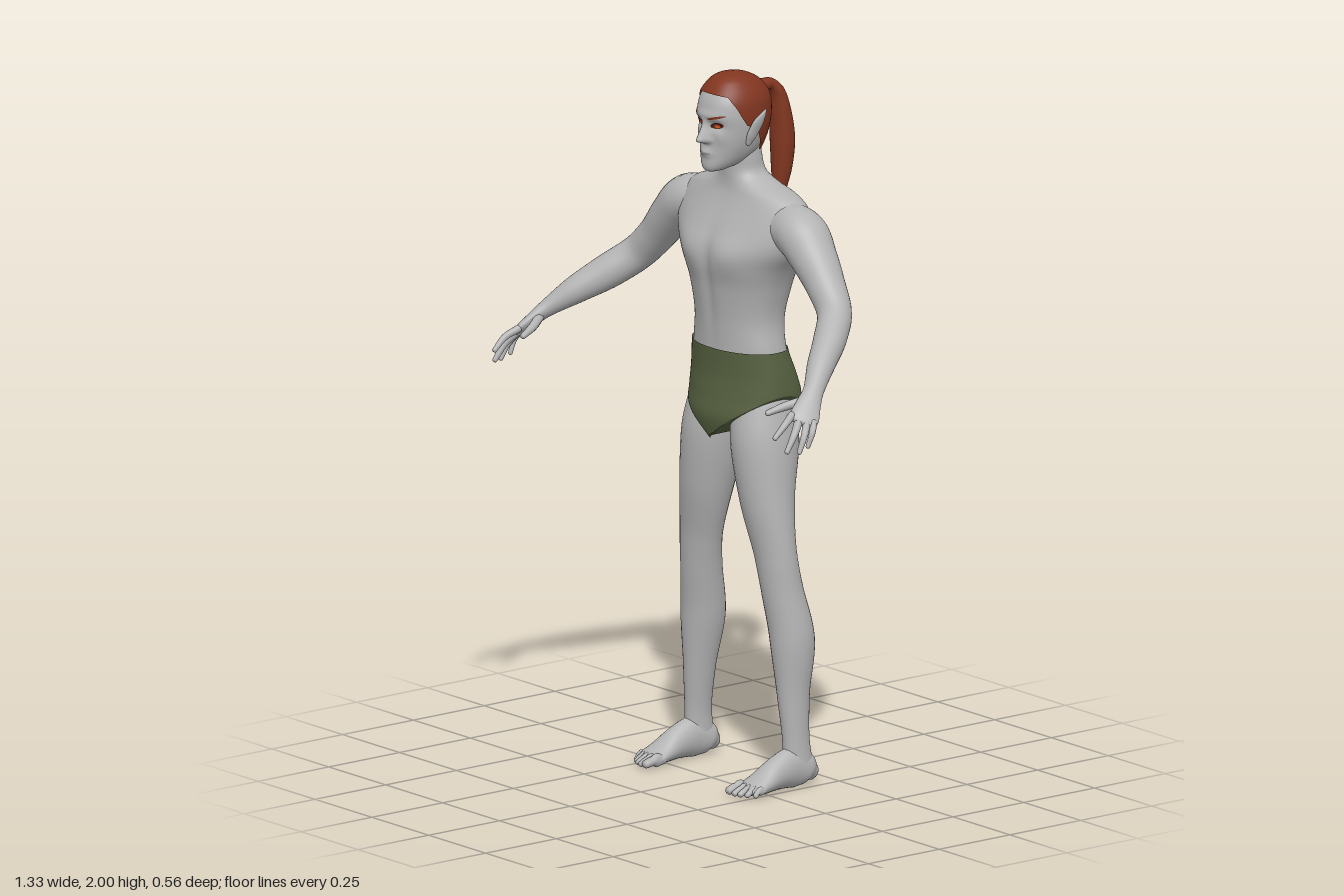
import * as THREE from 'three';

const V = (x, y, z) => new THREE.Vector3(x, y, z);
const gauss = (v, s) => Math.exp(-(v * v) / (s * s));

// Smooth lookup in sections [y, halfWidth, zFront, zBack], listed from low to high
function sectionAt(secs, y) {
  const n = secs.length - 1;
  y = Math.min(Math.max(y, secs[0][0]), secs[n][0]);
  let i = 0;
  while (i < n - 1 && y > secs[i + 1][0]) i++;
  const a = secs[i], b = secs[i + 1], h = b[0] - a[0], t = (y - a[0]) / h;
  const slope = (j, k) => {
    const p = secs[Math.max(j - 1, 0)], q = secs[Math.min(j + 1, n)];
    return (q[k] - p[k]) / (q[0] - p[0]);
  };
  return [1, 2, 3].map((k) =>
    (2 * t ** 3 - 3 * t * t + 1) * a[k] + (t ** 3 - 2 * t * t + t) * h * slope(i, k) +
    (3 * t * t - 2 * t ** 3) * b[k] + (t ** 3 - t * t) * h * slope(i + 1, k));
}

// Point on a body surface at height y and angle a (0 = front)
function surface(body, y, a) {
  const [w, zf, zb] = sectionAt(body.secs, y);
  const s = Math.sin(a), c = Math.cos(a), e = c > 0 ? body.eFront : body.eBack;
  const x = w * Math.sign(s) * Math.abs(s) ** e;
  const z = (zf + zb) / 2 + ((zf - zb) / 2) * Math.sign(c) * Math.abs(c) ** e;
  return V(x, y, z + body.relief(x, y, c));
}

// Closed rings of points joined to a smooth skin, wound outwards
function skinRings(rows, cols, point) {
  const pos = [], idx = [], mid = V(0, 0, 0), pts = [];
  for (let i = 0; i <= rows; i++) for (let j = 0; j < cols; j++) {
    const p = point(i, j);
    pts.push(p); mid.add(p); pos.push(p.x, p.y, p.z);
  }
  mid.divideScalar(pts.length);
  for (let i = 0; i < rows; i++) for (let j = 0; j < cols; j++) {
    const a = i * cols + j, b = i * cols + (j + 1) % cols;
    idx.push(a, b, a + cols, b, b + cols, a + cols);
  }
  let volume = 0;
  for (let k = 0; k < idx.length; k += 3) {
    const [a, b, c] = [0, 1, 2].map((m) => pts[idx[k + m]].clone().sub(mid));
    volume += a.dot(b.cross(c));
  }
  if (volume < 0) idx.reverse();
  const g = new THREE.BufferGeometry();
  g.setAttribute('position', new THREE.Float32BufferAttribute(pos, 3));
  g.setIndex(idx);
  g.computeVertexNormals();
  return g;
}

// Round-ended limb through points [x, y, z, sideRadius, otherRadius]; s = -1 mirrors it
function limb(pts, ref, s = 1, rows = 40, cols = 24) {
  const path = new THREE.CatmullRomCurve3(pts.map((p) => V(p[0] * s, p[1], p[2])));
  const radii = new THREE.CatmullRomCurve3(pts.map((p) => V(p[3], p[4], 0)));
  const cap = 4;
  return skinRings(rows + 2 * cap, cols, (i, j) => {
    const t = Math.min(Math.max((i - cap) / rows, 0), 1);
    const over = i < cap ? i - cap : Math.max(i - cap - rows, 0);
    const q = (over / cap) * Math.PI / 2;
    const dir = path.getTangent(t), r = radii.getPoint(t);
    const side = V(ref[0] * s, ref[1], ref[2]);
    side.addScaledVector(dir, -side.dot(dir)).normalize();
    const other = dir.clone().cross(side), a = (j / cols) * Math.PI * 2;
    return path.getPoint(t)
      .addScaledVector(dir, Math.sin(q) * Math.min(r.x, r.y) * 0.8)
      .addScaledVector(side, Math.cos(a) * r.x * Math.cos(q))
      .addScaledVector(other, Math.sin(a) * r.y * Math.cos(q));
  });
}

const torso = {
  eFront: 1, eBack: 0.8,
  secs: [
    [0.96, 0.11, 0.0, -0.18], [1.03, 0.168, 0.016, -0.222], [1.09, 0.175, 0.008, -0.232],
    [1.15, 0.17, 0, -0.215], [1.225, 0.158, 0, -0.19], [1.31, 0.147, 0.005, -0.192],
    [1.4, 0.165, 0.016, -0.21], [1.46, 0.19, 0.023, -0.22], [1.52, 0.23, 0.016, -0.222],
    [1.57, 0.248, -0.003, -0.22], [1.63, 0.24, -0.032, -0.212], [1.665, 0.195, -0.046, -0.197],
    [1.69, 0.115, -0.05, -0.18], [1.715, 0.07, -0.05, -0.166], [1.76, 0.06, -0.048, -0.155],
    [1.83, 0.056, -0.04, -0.15]],
  // Chest muscles, breastbone, spine and seat cleft
  relief(x, y, c) {
    if (c > 0) return c * (0.016 * gauss(Math.abs(x) - 0.085, 0.07) * gauss(y - 1.5, 0.055)
      - 0.008 * gauss(x, 0.02) * gauss(y - 1.42, 0.14));
    return -c * (0.014 * gauss(x, 0.025) * gauss(y - 1.4, 0.17) + 0.04 * gauss(x, 0.018) * gauss(y - 1.03, 0.075));
  },
};

const skull = {
  eFront: 0.88, eBack: 1,
  secs: [
    [1.728, 0.012, 0.012, -0.02], [1.733, 0.027, 0.02, -0.045], [1.748, 0.045, 0.024, -0.1],
    [1.775, 0.063, 0.022, -0.148], [1.81, 0.077, 0.02, -0.168], [1.85, 0.085, 0.02, -0.18],
    [1.89, 0.087, 0.025, -0.185], [1.93, 0.082, 0.018, -0.18], [1.965, 0.063, -0.004, -0.155],
    [1.987, 0.036, -0.035, -0.115], [1.994, 0, -0.072, -0.074]],
  // Nose, eye sockets, brow, cheekbones and lips
  relief(x, y, c) {
    if (c <= 0) return 0;
    const up = THREE.MathUtils.smoothstep(y, 1.805, 1.82) * THREE.MathUtils.clamp((1.885 - y) / 0.062, 0, 1);
    return 0.036 * up * gauss(x, 0.009 + 0.007 * up)
      - 0.011 * gauss(Math.abs(x) - 0.036, 0.018) * gauss(y - 1.862, 0.013)
      + 0.006 * gauss(x, 0.05) * gauss(y - 1.89, 0.013)
      + 0.004 * gauss(Math.abs(x) - 0.05, 0.015) * gauss(y - 1.83, 0.02)
      + 0.008 * gauss(x, 0.022) * gauss(y - 1.783, 0.012);
  },
};

// Thin painted ellipse lying on the face
function facePatch(cx, cy, rx, ry, tilt, lift) {
  const g = new THREE.RingGeometry(0.001, 1, 28, 5), p = g.attributes.position;
  for (let i = 0; i < p.count; i++) {
    const x = cx + p.getX(i) * rx, y = cy + p.getY(i) * ry + p.getX(i) * rx * tilt;
    const k = Math.min(Math.abs(x) / sectionAt(skull.secs, y)[0], 1);
    const q = surface(skull, y, Math.sign(x) * Math.asin(k ** (1 / skull.eFront)));
    p.setXYZ(i, x, y, q.z + lift);
  }
  g.computeVertexNormals();
  return g;
}

export function createModel() {
  const model = new THREE.Group();
  const paint = (name, color, side = THREE.FrontSide) =>
    Object.assign(new THREE.MeshStandardMaterial({ color, side }), { name });
  const skin = paint('skin', 0xb4b4b4), hair = paint('hair', 0x823620, THREE.DoubleSide);
  const cloth = paint('cloth', 0x566040, THREE.DoubleSide), iris = paint('iris', 0xd4561e);
  const lid = paint('eyelid', 0x4a1a12), lip = paint('lip', 0x8c8a8a);
  const add = (name, geo, mat) => {
    const m = new THREE.Mesh(geo, mat);
    m.name = name;
    model.add(m);
  };
  const TAU = Math.PI * 2;

  // Torso with neck, and head
  add('torso', skinRings(90, 80, (i, j) => surface(torso, 1.17 + (0.66 * i) / 90, (j / 80) * TAU)), skin);
  add('head', skinRings(90, 120, (i, j) =>
    surface(skull, 1.728 + 0.266 * (1 - Math.cos((i / 90) * Math.PI)) / 2, (j / 120) * TAU)), skin);

  // Briefs: follow the hips down to slanted leg openings, then close under the crotch
  add('briefs', skinRings(44, 96, (i, j) => {
    const a = (j / 96) * TAU, s = Math.abs(Math.sin(a));
    const low = Math.cos(a) > 0 ? 0.968 + 0.132 * s : 0.985 + 0.115 * s * s;
    const p = surface(torso, THREE.MathUtils.lerp(1.225, low, Math.min(i / 40, 1)), a);
    p.x *= 1.035;
    p.z = -0.11 + (p.z + 0.11) * 1.035;
    if (i > 40) {
      const t = (i - 40) / 4;
      p.set(p.x * (1 - t), THREE.MathUtils.lerp(p.y, 0.975, t), p.z);
    }
    return p;
  }), cloth);

  // Hair cap with a shaped hairline; stops are [front-facing amount, height]
  const line = [[-1, 1.762], [-0.5, 1.79], [-0.1, 1.85], [0.2, 1.865], [0.45, 1.91], [0.7, 1.942], [1, 1.947]];
  add('hairCap', skinRings(40, 96, (i, j) => {
    const a = (j / 96) * TAU, c = Math.cos(a);
    const k = Math.max(1, line.findIndex((l) => l[0] >= c - 1e-9));
    const low = THREE.MathUtils.mapLinear(c, line[k - 1][0], line[k][0], line[k - 1][1], line[k][1]);
    const p = surface(skull, 1.994 - (1.994 - low) * (1 - Math.cos((i / 40) * Math.PI / 2)), a);
    const o = V(0, 1.87, -0.08);
    return p.sub(o).multiplyScalar(1.05).add(o);
  }), hair);
  add('ponytail', limb([
    [0, 1.94, -0.175, 0.022, 0.022], [0, 1.943, -0.205, 0.018, 0.016], [0, 1.92, -0.228, 0.027, 0.02],
    [0, 1.86, -0.242, 0.035, 0.028], [0, 1.78, -0.25, 0.037, 0.034], [0, 1.7, -0.247, 0.031, 0.029],
    [0, 1.63, -0.238, 0.018, 0.018], [0, 1.58, -0.233, 0.004, 0.004]], [1, 0, 0]), hair);

  add('mouth', facePatch(0, 1.782, 0.022, 0.004, 0, 0.0015), lip);

  const across = [0.52, -0.3, -0.67];
  for (const s of [1, -1]) {
    const side = s > 0 ? 'left' : 'right';

    // Eyes, brows and pointed ears
    add(side + 'Eyelid', facePatch(s * 0.037, 1.864, 0.019, 0.009, s * 0.15, 0.002), lid);
    add(side + 'Iris', facePatch(s * 0.037, 1.863, 0.009, 0.006, 0, 0.004), iris);
    add(side + 'Brow', facePatch(s * 0.04, 1.888, 0.024, 0.0035, s * 0.25, 0.002), hair);
    add(side + 'Ear', limb([
      [0.081, 1.81, -0.064, 0.008, 0.006], [0.09, 1.838, -0.072, 0.018, 0.009], [0.1, 1.868, -0.082, 0.019, 0.008],
      [0.108, 1.893, -0.095, 0.01, 0.005], [0.111, 1.908, -0.103, 0.002, 0.002]], [0, 0, 1], s, 20, 16), skin);

    // Arm running into the palm
    add(side + 'Arm', limb([
      [0.15, 1.585, -0.12, 0.06, 0.07], [0.245, 1.577, -0.118, 0.075, 0.072], [0.31, 1.523, -0.112, 0.066, 0.062],
      [0.37, 1.457, -0.106, 0.055, 0.053], [0.43, 1.395, -0.088, 0.048, 0.05], [0.483, 1.342, -0.03, 0.046, 0.049],
      [0.538, 1.287, 0.048, 0.038, 0.039], [0.585, 1.235, 0.112, 0.029, 0.024], [0.602, 1.21, 0.14, 0.034, 0.019],
      [0.62, 1.18, 0.17, 0.041, 0.015], [0.627, 1.168, 0.182, 0.037, 0.012]], across, s, 70, 32), skin);

    // Fingers and thumb: base, tip, radius
    [['index', [0.602, 1.187, 0.2], [0.616, 1.135, 0.272], 0.01], ['middle', [0.618, 1.174, 0.188], [0.642, 1.098, 0.25], 0.0105],
      ['ring', [0.633, 1.168, 0.173], [0.656, 1.094, 0.218], 0.0098], ['little', [0.643, 1.168, 0.156], [0.654, 1.105, 0.186], 0.0088],
      ['thumb', [0.583, 1.215, 0.14], [0.537, 1.185, 0.235], 0.012]].forEach(([name, b, t, r]) => {
      const mid = b.map((v, k) => (v + t[k]) / 2);
      if (name === 'thumb') mid[0] -= 0.006; else { mid[0] += 0.006; mid[1] += 0.006; }
      add(`${side}Finger_${name}`, limb([[...b, r * 1.15, r * 1.1], [...mid, r, r], [...t, r * 0.7, r * 0.7]], across, s, 12, 12), skin);
    });

    // Leg
    add(side + 'Leg', limb([
      [0.085, 1.13, -0.11, 0.06, 0.07], [0.092, 1.07, -0.108, 0.08, 0.09], [0.106, 0.97, -0.102, 0.088, 0.1],
      [0.132, 0.81, -0.09, 0.078, 0.077], [0.164, 0.65, -0.095, 0.064, 0.056], [0.178, 0.55, -0.107, 0.059, 0.058],
      [0.195, 0.42, -0.127, 0.06, 0.064], [0.206, 0.26, -0.123, 0.041, 0.048], [0.215, 0.13, -0.125, 0.032, 0.041],
      [0.217, 0.06, -0.13, 0.034, 0.046]], [1, 0, 0], s, 70, 32), skin);

    // Foot with a flat sole, and toes
    const foot = limb([
      [0.216, 0.033, -0.178, 0.022, 0.025], [0.216, 0.045, -0.155, 0.035, 0.046], [0.217, 0.056, -0.11, 0.036, 0.058],
      [0.218, 0.046, -0.05, 0.039, 0.046], [0.219, 0.029, 0, 0.046, 0.03], [0.219, 0.019, 0.035, 0.05, 0.019],
      [0.219, 0.015, 0.05, 0.047, 0.013]], [1, 0, 0], s, 40, 28);
    const p = foot.attributes.position;
    for (let i = 0; i < p.count; i++) p.setY(i, Math.max(p.getY(i), 0));
    foot.computeVertexNormals();
    add(side + 'Foot', foot, skin);
    for (let k = 0; k < 5; k++) {
      const x = 0.183 + k * 0.0185 + (k ? 0.004 : 0), r = k ? 0.0098 - k * 0.0004 : 0.0135;
      const tip = [0.085, 0.085, 0.08, 0.07, 0.055][k];
      add(`${side}Toe_${k + 1}`, limb([[x, 0.018, 0.025, r, r], [x, 0.019, (tip + 0.035) / 2, r, r], [x, r, tip, r, r * 0.85]],
        [1, 0, 0], s, 10, 12), skin);
    }
  }
  return model;
}
